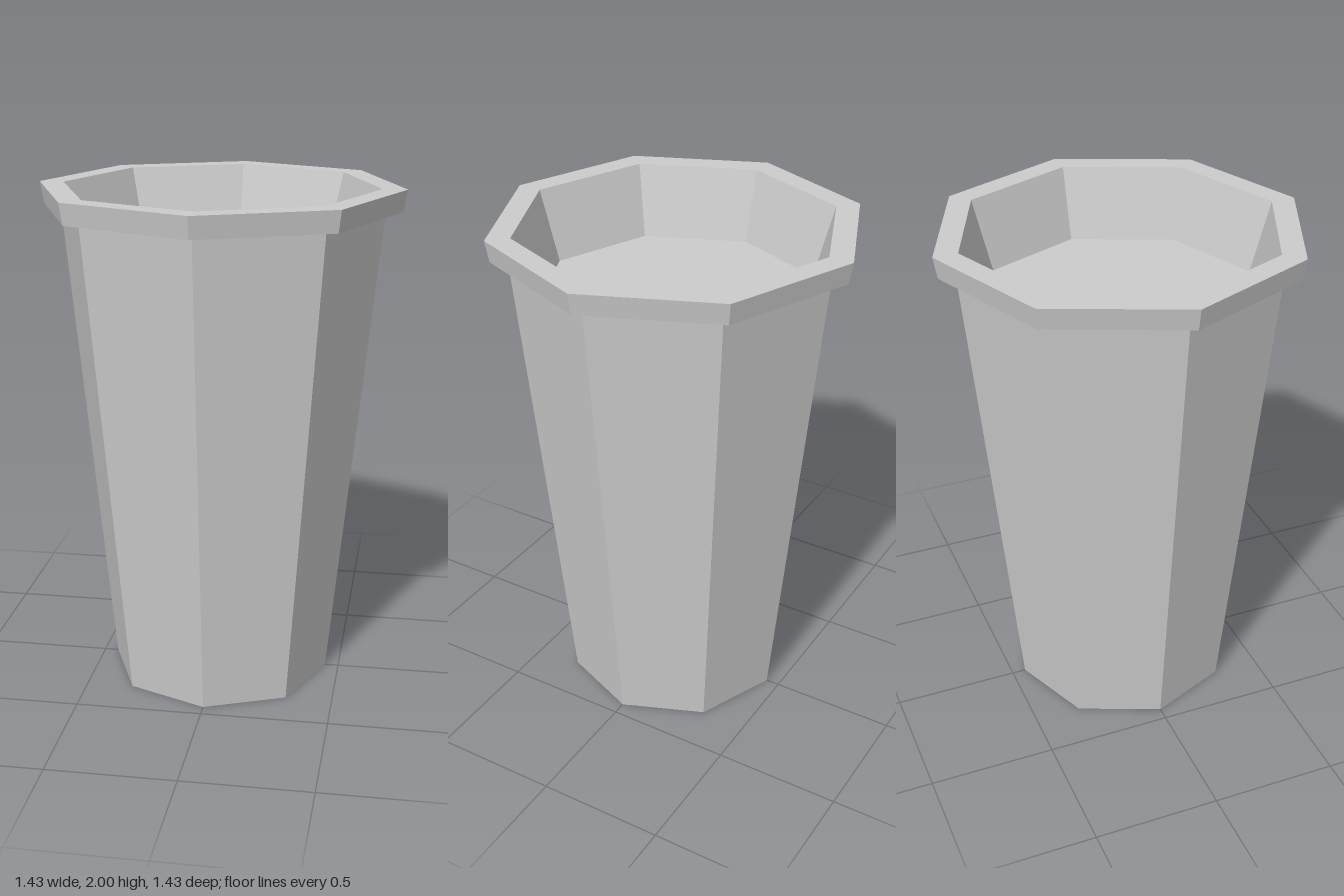
import * as THREE from 'three';

const SIDES = 8;

// Faceted ring of flat panels, turned from a [radius, height] profile
function facetedPart(name, profile, material) {
  const points = profile.map(([r, y]) => new THREE.Vector2(r, y));
  const geometry = new THREE.LatheGeometry(points, SIDES).toNonIndexed();
  geometry.computeVertexNormals();
  const mesh = new THREE.Mesh(geometry, material);
  mesh.name = name;
  return mesh;
}

export function createModel() {
  const material = new THREE.MeshStandardMaterial({ color: 0xcccccc, flatShading: true });
  const group = new THREE.Group();
  group.name = 'octagonalPlanter';

  // Closed base and tapering outer wall
  group.add(facetedPart('body', [[0, 0], [0.445, 0], [0.635, 1.915]], material));

  // Overhanging lip: underside, flared outer edge, flat top
  group.add(facetedPart('rim', [[0.635, 1.915], [0.7, 1.915], [0.715, 2], [0.62, 2]], material));

  // Shallow recess: sloping inner wall down to the floor
  group.add(facetedPart('basin', [[0.62, 2], [0.54, 1.72], [0, 1.72]], material));

  return group;
}
